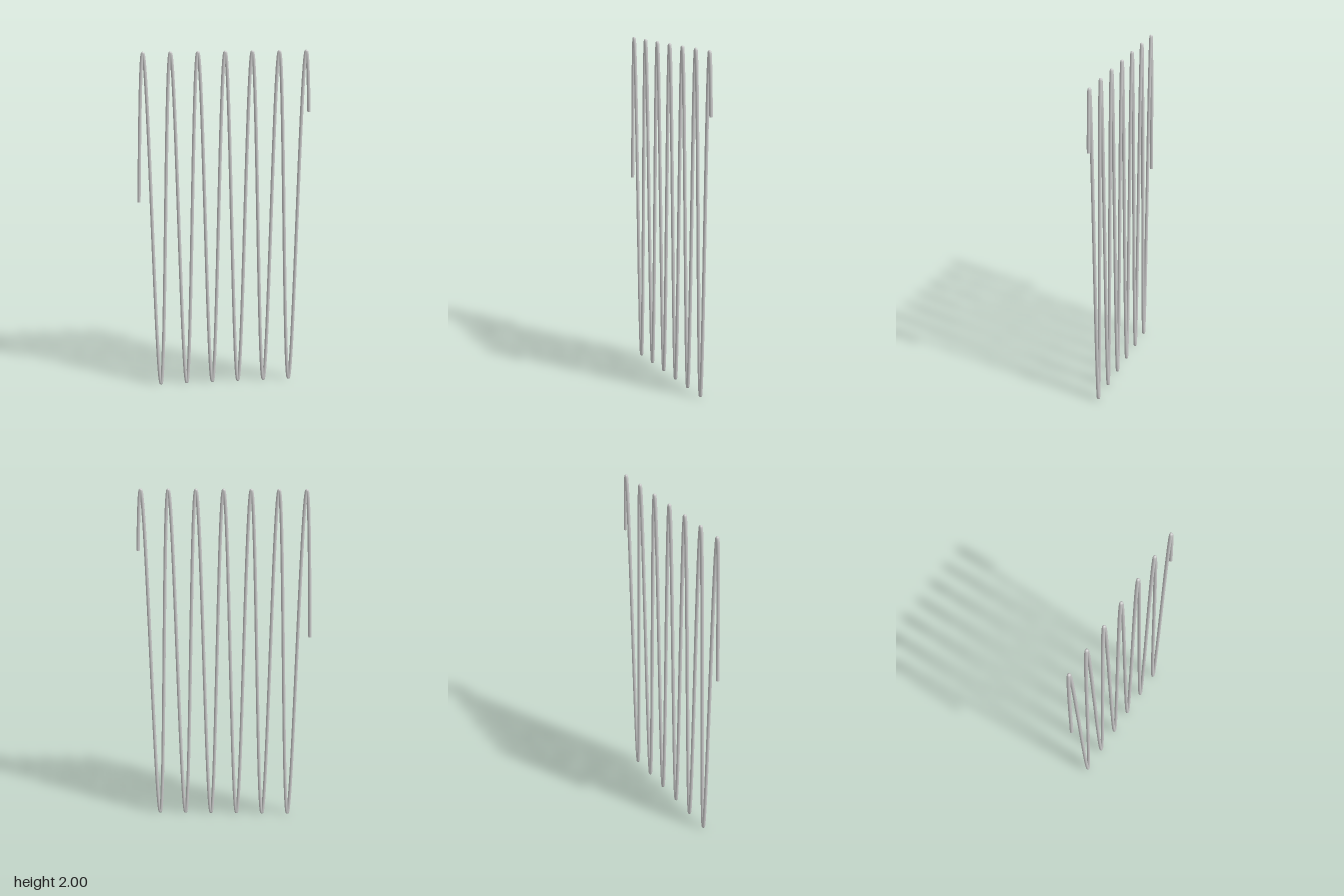
import * as THREE from 'three';

const SCALE = 0.02475;   // model units per radian of the wave
const HALF_SPAN = 20;    // the wave runs from -20 to 20 radians
const AMPLITUDE = 0.99;
const PHASE = 0.286;
const RADIUS = 0.0099;
const SIDES = 10;

// Tall cosine wave, sampled evenly along x so the tight crests stay round
class Wave extends THREE.Curve {
  getPoint(t, target = new THREE.Vector3()) {
    const a = (2 * t - 1) * HALF_SPAN;
    return target.set(a * SCALE, 1 + AMPLITUDE * Math.cos(a - PHASE), 0);
  }
  getTangent(t, target = new THREE.Vector3()) {
    const a = (2 * t - 1) * HALF_SPAN;
    return target.set(SCALE, -AMPLITUDE * Math.sin(a - PHASE), 0).normalize();
  }
  getPointAt(t, target) { return this.getPoint(t, target); }
  getTangentAt(t, target) { return this.getTangent(t, target); }
}

export function createModel() {
  const group = new THREE.Group();
  group.name = 'waveWire';
  const material = new THREE.MeshStandardMaterial({ color: 0xcccccc, side: THREE.DoubleSide });
  const wave = new Wave();

  // Round wire following the wave
  const wire = new THREE.Mesh(new THREE.TubeGeometry(wave, 2400, RADIUS, SIDES, false), material);
  wire.name = 'wire';
  group.add(wire);

  // Flat discs closing both ends
  for (const [name, t, dir] of [['startCap', 0, -1], ['endCap', 1, 1]]) {
    const cap = new THREE.Mesh(new THREE.CircleGeometry(RADIUS, SIDES), material);
    cap.name = name;
    cap.position.copy(wave.getPoint(t));
    const normal = wave.getTangent(t).multiplyScalar(dir);
    cap.quaternion.setFromUnitVectors(new THREE.Vector3(0, 0, 1), normal);
    group.add(cap);
  }
  return group;
}
